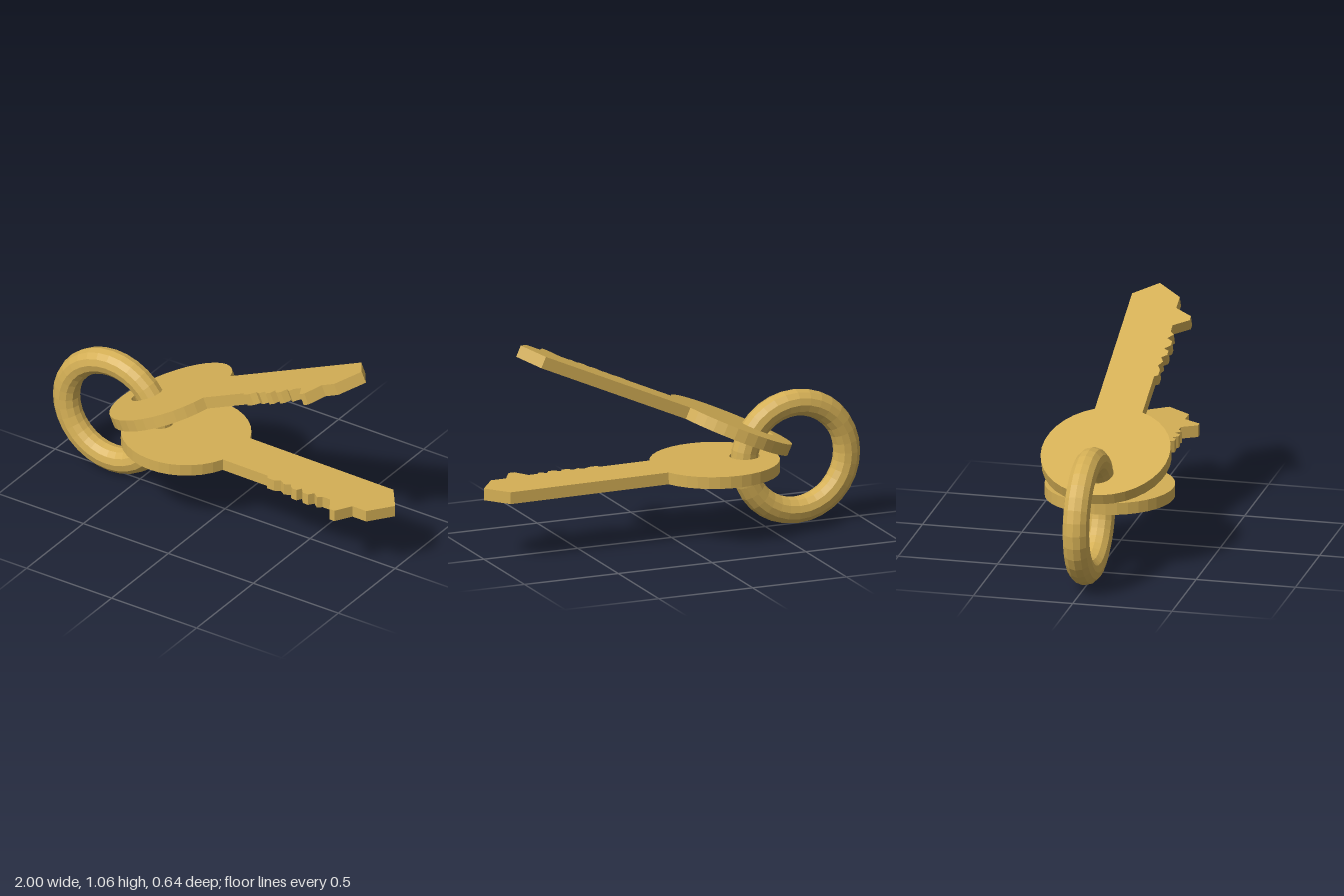
import * as THREE from 'three';

const metal = new THREE.MeshStandardMaterial({ color: 0xd4af55, flatShading: true });

const HEAD_RADIUS = 0.32;
const BLADE_HALF = 0.12;
const THICKNESS = 0.06;

// Cut edge of the blade, from head to tip: [distance from head centre, depth]
const TEETH = [
  [0.56, 0.12], [0.57, 0.138], [0.61, 0.138], [0.64, 0.122], [0.67, 0.14],
  [0.70, 0.125], [0.72, 0.15], [0.75, 0.15], [0.765, 0.125], [0.79, 0.153],
  [0.82, 0.153], [0.84, 0.125], [0.87, 0.15], [0.89, 0.13], [0.935, 0.13],
  [0.98, 0.205], [1.01, 0.205], [1.06, 0.12],
];

// Flat key outline: round head with a ring hole, toothed blade, pointed tip
function keyGeometry() {
  const shape = new THREE.Shape();
  const joint = Math.asin(BLADE_HALF / HEAD_RADIUS);
  const steps = 32;
  for (let i = 0; i <= steps; i++) {
    const a = -joint - (i / steps) * (2 * Math.PI - 2 * joint);
    const x = HEAD_RADIUS * Math.cos(a), y = HEAD_RADIUS * Math.sin(a);
    if (i === 0) shape.moveTo(x, y);
    else shape.lineTo(x, y);
  }
  TEETH.forEach(([x, y]) => shape.lineTo(x, y));
  shape.lineTo(1.14, BLADE_HALF);
  shape.lineTo(1.23, 0);
  shape.lineTo(1.14, -BLADE_HALF);
  shape.closePath();

  const hole = new THREE.Path();
  hole.absarc(-0.16, 0, 0.075, 0, Math.PI * 2, false);
  shape.holes.push(hole);

  const geo = new THREE.ExtrudeGeometry(shape, {
    depth: THICKNESS, bevelEnabled: false, curveSegments: 12,
  });
  geo.translate(0, 0, -THICKNESS / 2);
  geo.rotateX(Math.PI / 2); // lay flat, teeth towards +z
  return geo;
}

export function createModel() {
  const model = new THREE.Group();
  model.name = 'keysOnRing';

  // Ring standing upright
  const ring = new THREE.Mesh(new THREE.TorusGeometry(0.273, 0.067, 12, 32), metal);
  ring.name = 'ring';
  ring.position.set(-0.66, 0.342, 0);
  model.add(ring);

  // Two identical keys fanned apart
  const geo = keyGeometry();
  const addKey = (name, x, y, angle) => {
    const key = new THREE.Mesh(geo, metal);
    key.name = name;
    key.position.set(x, y, 0);
    key.rotation.z = angle;
    model.add(key);
  };
  addKey('lowerKey', -0.23, 0.342, -0.0085);
  addKey('upperKey', -0.308, 0.538, THREE.MathUtils.degToRad(24));

  return model;
}
